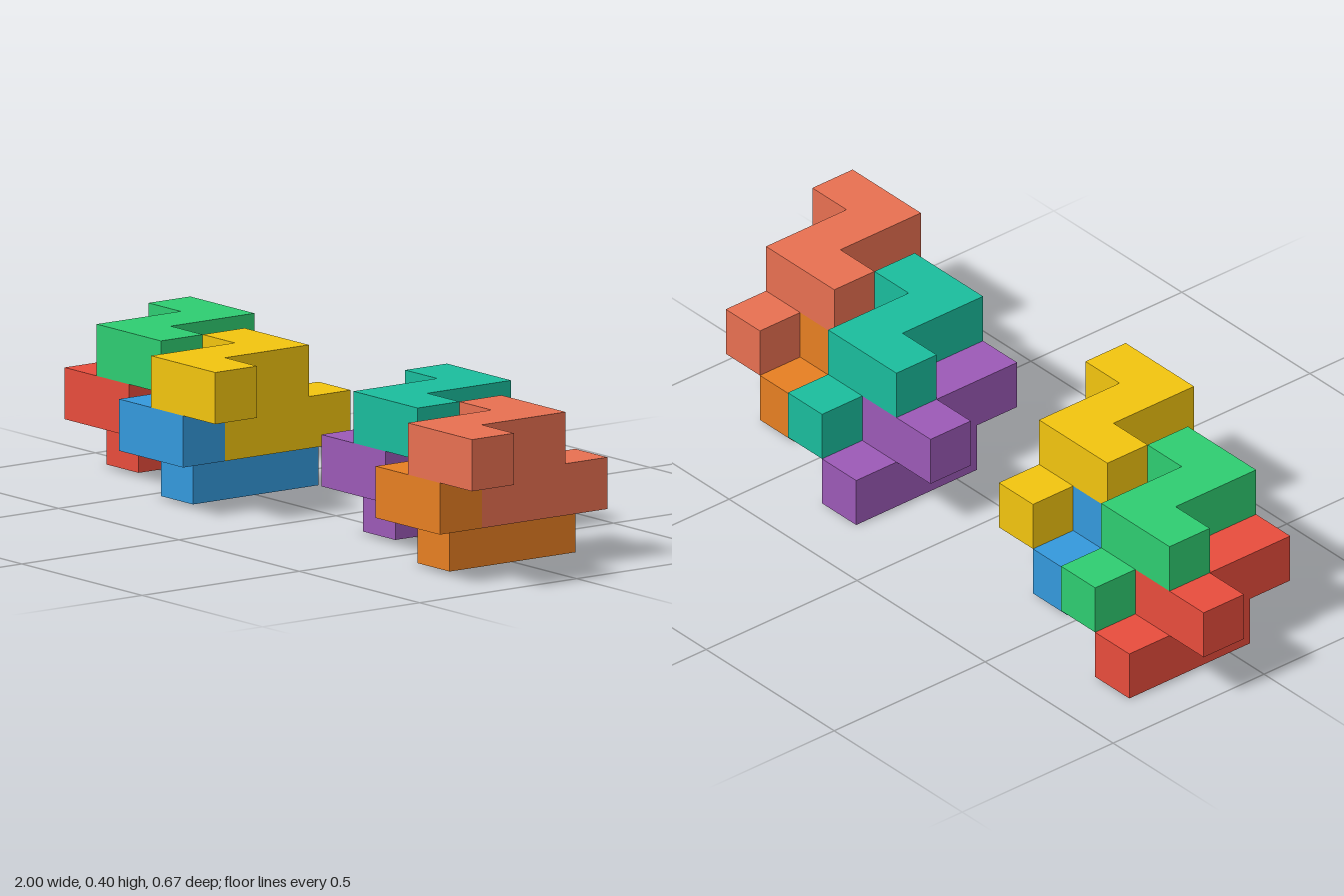
import * as THREE from 'three';
import { mergeGeometries } from 'three/addons/utils/BufferGeometryUtils.js';

const U = 2 / 15; // edge of one cube cell

// One eight-cell piece in cell units: a Z-shaped slab on top of a three-cell bar
function pieceGeometry() {
  const outline = [[-1, 1], [1, 1], [1, 3], [2, 3], [2, 4], [0, 4], [0, 2], [-1, 2]];
  const shape = new THREE.Shape(outline.map(([x, z]) => new THREE.Vector2(x, -z)));
  const slab = new THREE.ExtrudeGeometry(shape, { depth: 1, bevelEnabled: false });
  slab.rotateX(-Math.PI / 2).translate(0, 1, 0);

  const bar = new THREE.BoxGeometry(1, 1, 3).toNonIndexed();
  bar.translate(0.5, 0.5, 1.5);

  return mergeGeometries([slab, bar]).scale(U, U, U);
}

export function createModel() {
  const model = new THREE.Group();
  model.name = 'interlockingBlocks';
  const geometry = pieceGeometry();

  // name, colour, then column, layer and row of the piece on the cell grid
  const pieces = [
    ['redPiece', 0xe74c3c, 1, 0, 0],
    ['greenPiece', 0x2ecc71, 2, 1, 0],
    ['bluePiece', 0x3498db, 4, 0, 1],
    ['yellowPiece', 0xf1c40f, 5, 1, 1],
    ['purplePiece', 0x9b59b6, 9, 0, 0],
    ['tealPiece', 0x1abc9c, 10, 1, 0],
    ['orangePiece', 0xe67e22, 12, 0, 1],
    ['coralPiece', 0xe76f51, 13, 1, 1],
  ];

  for (const [name, color, column, layer, row] of pieces) {
    const piece = new THREE.Mesh(geometry, new THREE.MeshStandardMaterial({ color }));
    piece.name = name;
    piece.position.set(-1 + column * U, layer * U, (row - 2.5) * U);
    model.add(piece);
  }
  return model;
}
